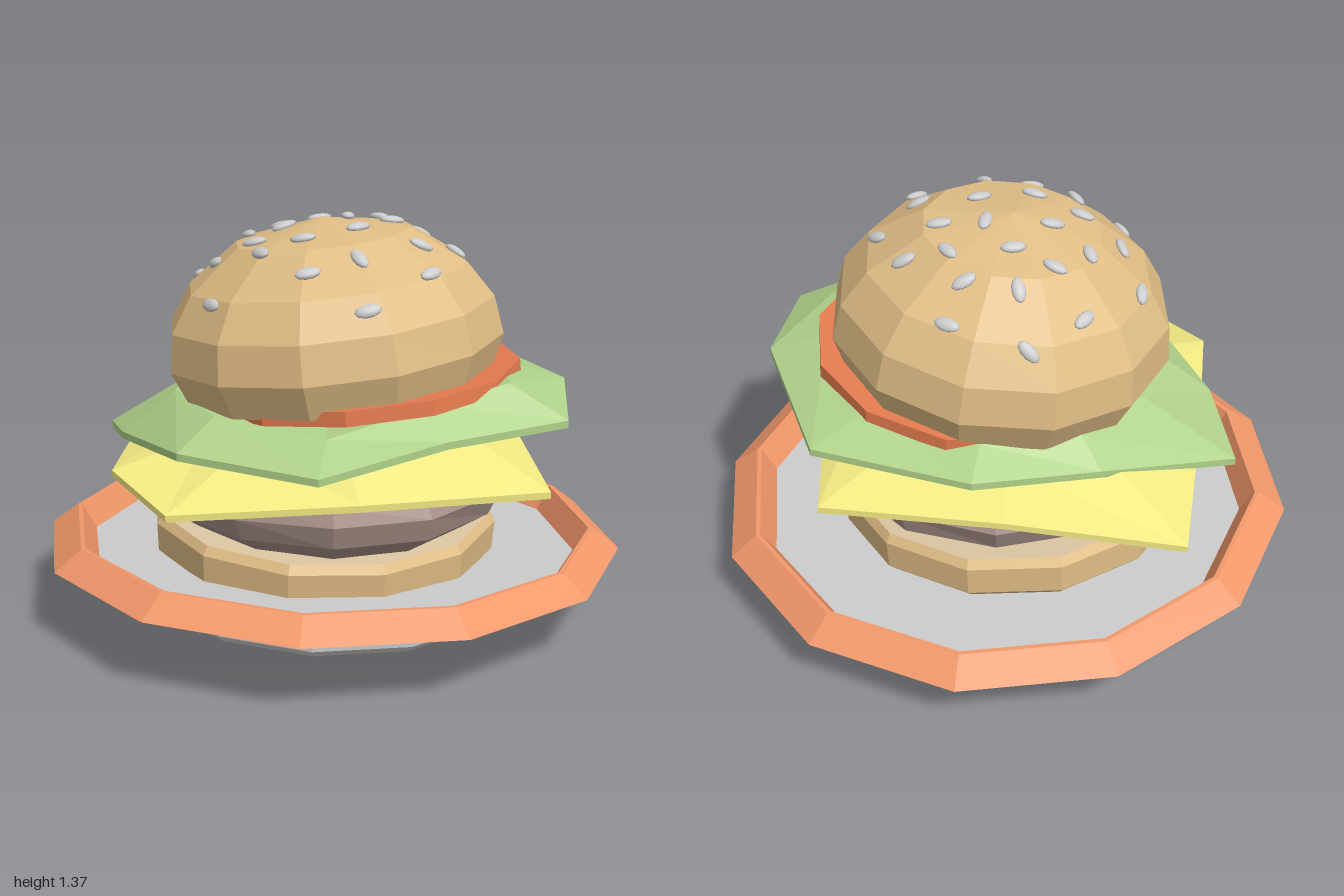
import * as THREE from 'three';

const mat = (color, flat = true) => new THREE.MeshStandardMaterial({ color, flatShading: flat });

const BUN = 0xe0bd85, CRUMB = 0xdcc6a2, ORANGE = 0xf2986a;

// Low-poly turned part: profile is [radius, height] from bottom to top, tilted about its base.
function turned(name, profile, color, { pos, tilt = [0, 0], turn = 0.19, wobble = 0 }) {
  const points = profile.map(([r, y]) => new THREE.Vector2(r, y));
  const geo = new THREE.LatheGeometry(points, 12, turn);
  if (wobble) {
    const p = geo.attributes.position;
    for (let i = 0; i < p.count; i++) {
      const x = p.getX(i), y = p.getY(i), z = p.getZ(i);
      const k = 1 + wobble * Math.sin(3 * Math.atan2(z, x) + 14 * y);
      p.setXYZ(i, x * k, y, z * k);
    }
  }
  const mesh = new THREE.Mesh(geo, mat(color));
  mesh.name = name;
  mesh.position.set(...pos);
  mesh.rotation.set(tilt[0], 0, tilt[1]);
  return mesh;
}

// Folded slice: a centre point, an inner ring and an outer ring, given a thickness.
function slice(name, centre, inner, outer, thickness, color) {
  const n = inner.length, top = [centre, ...inner, ...outer];
  const verts = [...top, ...top.map(([x, y, z]) => [x, y - thickness, z])];
  const under = top.length, index = [];
  for (let i = 0; i < n; i++) {
    const j = (i + 1) % n;
    const a = 1 + i, b = 1 + j, c = 1 + n + i, d = 1 + n + j;
    for (const [p, q, r] of [[0, b, a], [a, b, c], [b, d, c]]) {
      index.push(p, q, r, p + under, r + under, q + under);
    }
    index.push(c, d, c + under, d, d + under, c + under);
  }
  const geo = new THREE.BufferGeometry();
  geo.setAttribute('position', new THREE.Float32BufferAttribute(verts.flat(), 3));
  geo.setIndex(index);
  geo.computeVertexNormals();
  const material = mat(color);
  material.side = THREE.DoubleSide;
  const mesh = new THREE.Mesh(geo, material);
  mesh.name = name;
  return mesh;
}

// Seeds as [x, z, heading], dropped onto the bun surface.
const SEEDS = [
  [-0.21, -0.41, -0.4], [0.07, -0.36, -1.1], [0.28, -0.31, -0.2], [-0.42, -0.26, 0.2],
  [-0.16, -0.3, -1.4], [-0.04, -0.27, 0.1], [0.09, -0.2, -1], [-0.29, -0.19, 0.5],
  [-0.44, -0.05, 1.3], [-0.29, -0.04, -0.4], [-0.16, -0.1, -1.1], [-0.01, -0.09, 0.9],
  [0.3, -0.12, -0.9], [0.43, -0.03, 1.5], [0.13, 0, -1.3], [-0.29, 0.11, 0.4],
  [-0.13, 0.09, -1.1], [0.06, 0.18, -0.7], [0.29, 0.15, 0.3], [-0.41, 0.23, 0.5],
  [-0.25, 0.29, 0.2], [-0.11, 0.24, -0.6], [0, 0.31, 0.1], [0.21, 0.3, -1.1],
  [0.42, 0.24, -1.2], [-0.06, 0.47, 0],
];

function scatterSeeds(bun) {
  const group = new THREE.Group();
  group.name = 'sesameSeeds';
  bun.updateMatrixWorld(true);
  const geo = new THREE.SphereGeometry(1, 10, 8).scale(0.044, 0.015, 0.023);
  const material = mat(0xcccccc, false);
  const down = new THREE.Vector3(0, -1, 0);
  for (const [x, z, heading] of SEEDS) {
    const hit = new THREE.Raycaster(new THREE.Vector3(x, 3, z), down).intersectObject(bun)[0];
    if (!hit) continue;
    const up = hit.face.normal.clone().transformDirection(bun.matrixWorld);
    const along = new THREE.Vector3(Math.cos(heading), 0, Math.sin(heading));
    along.addScaledVector(up, -along.dot(up)).normalize();
    const side = along.clone().cross(up);
    const seed = new THREE.Mesh(geo, material);
    seed.name = 'seed';
    seed.quaternion.setFromRotationMatrix(new THREE.Matrix4().makeBasis(along, up, side));
    seed.position.copy(hit.point).addScaledVector(up, 0.006);
    group.add(seed);
  }
  return group;
}

export function createModel() {
  const model = new THREE.Group();
  model.name = 'burgerOnPlate';

  // Plate: footed dish, coloured rim and sunken floor, all with the same slight tilt
  const plate = { pos: [0, 0.024, 0], tilt: [-0.036, 0.014] };
  model.add(
    turned('plateBase', [[0, 0], [0.61, 0], [0.635, 0.025], [0.64, 0.08], [0.71, 0.135], [1.008, 0.2]], 0xcccccc, plate),
    turned('plateRim', [[1.008, 0.2], [0.915, 0.27], [0.9, 0.27], [0.85, 0.185]], ORANGE, plate),
    turned('plateFloor', [[0.85, 0.185], [0, 0.185]], 0xcccccc, plate),
  );

  // Bottom bun with its pale cut face
  const lower = { pos: [-0.04, 0.2, 0], tilt: [0.005, -0.045], turn: 0.1 };
  model.add(
    turned('bottomBun', [[0, 0], [0.57, 0], [0.6, 0.03], [0.605, 0.13], [0.585, 0.16]], BUN, lower),
    turned('bottomBunCutFace', [[0.585, 0.16], [0.4, 0.165], [0, 0.165]], CRUMB, lower),
  );

  // Patty
  model.add(turned('patty',
    [[0, 0], [0.49, 0], [0.6, 0.08], [0.63, 0.16], [0.605, 0.22], [0.5, 0.3], [0, 0.33]],
    0xa89089, { pos: [0, 0.345, 0], tilt: [0.01, -0.015], turn: 0.3, wobble: 0.012 }));

  // Cheese slice with drooping corners
  model.add(slice('cheese', [0, 0.71, 0],
    [[0.57, 0.74, -0.05], [0.38, 0.7, 0.3], [0.08, 0.69, 0.45], [-0.12, 0.68, 0.45], [-0.37, 0.67, 0.28],
      [-0.6, 0.67, -0.03], [-0.37, 0.7, -0.32], [-0.1, 0.74, -0.5], [0.27, 0.74, -0.35]],
    [[0.93, 0.62, -0.06], [0.55, 0.59, 0.4], [0.14, 0.56, 0.84], [-0.2, 0.61, 0.79], [-0.56, 0.6, 0.4],
      [-0.93, 0.55, -0.03], [-0.55, 0.64, -0.47], [-0.16, 0.69, -0.9], [0.38, 0.67, -0.48]],
    0.022, 0xf2ea82));

  // Wavy lettuce leaf
  model.add(slice('lettuce', [0, 0.79, 0],
    [[0.63, 0.88, -0.2], [0.54, 0.84, 0.06], [0.38, 0.76, 0.38], [0, 0.78, 0.52], [-0.33, 0.78, 0.42],
      [-0.47, 0.78, 0.2], [-0.5, 0.78, -0.1], [-0.35, 0.8, -0.4], [0, 0.83, -0.55], [0.4, 0.86, -0.45]],
    [[0.8, 0.77, -0.3], [0.64, 0.75, 0.1], [0.47, 0.68, 0.5], [0, 0.69, 0.68], [-0.45, 0.63, 0.56],
      [-0.73, 0.57, 0.4], [-0.6, 0.69, -0.1], [-0.43, 0.74, -0.5], [0, 0.78, -0.81], [0.54, 0.8, -0.6]],
    0.025, 0xb0d28a));

  // Tomato slice peeping out at the back left
  model.add(turned('tomato', [[0, 0], [0.55, 0], [0.55, 0.05], [0, 0.05]], 0xe57b50,
    { pos: [0.075, 0.79, -0.07], tilt: [0.04, 0.09] }));

  // Domed top bun and its seeds
  const topBun = turned('topBun',
    [[0, 0], [0.53, 0], [0.58, 0.12], [0.56, 0.25], [0.48, 0.37], [0.3, 0.5], [0, 0.56]],
    BUN, { pos: [0.015, 0.805, -0.02], tilt: [0.05, 0.1], turn: 0.12 });
  model.add(topBun, scatterSeeds(topBun));

  return model;
}
